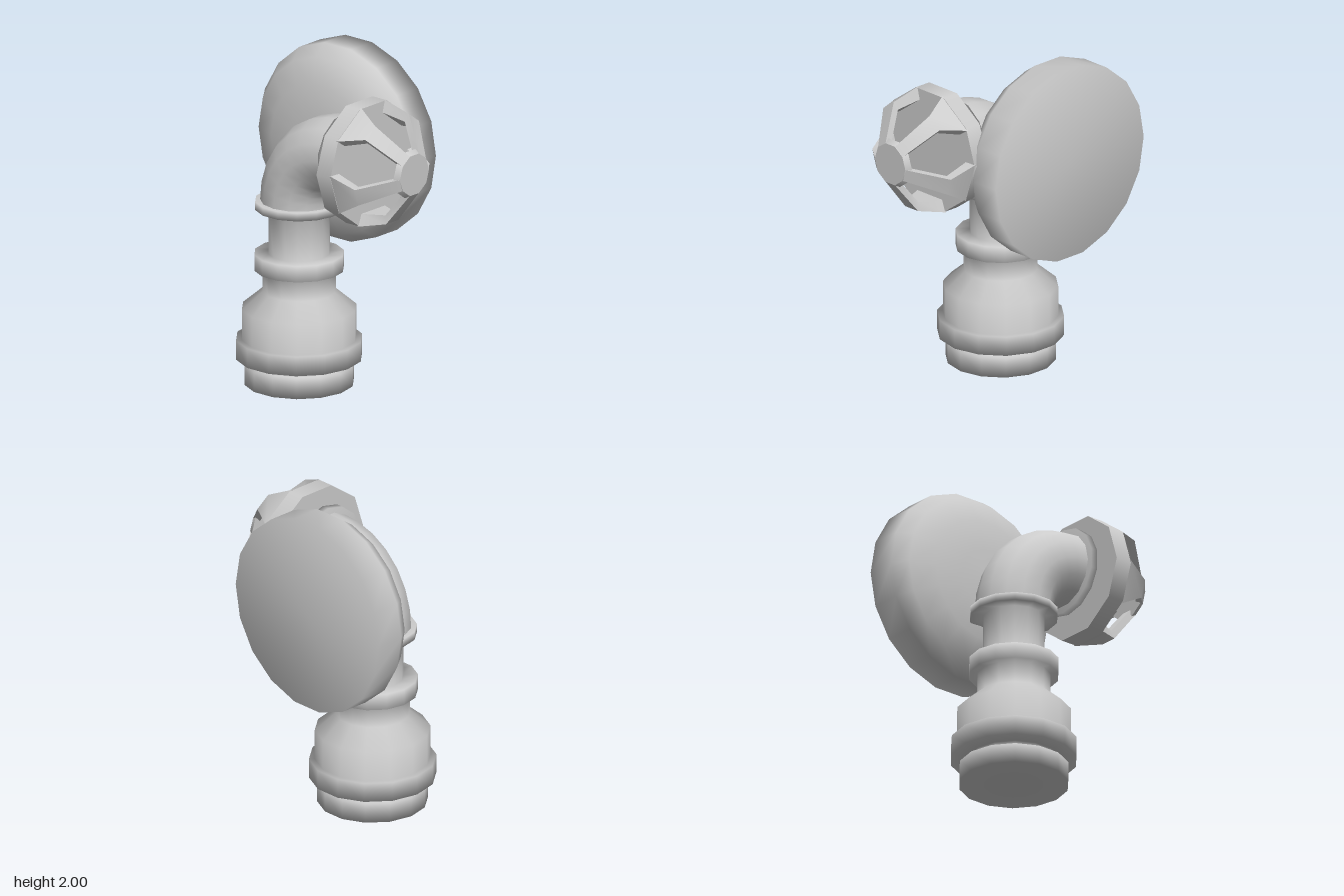
import * as THREE from 'three';
import { toCreasedNormals } from 'three/addons/utils/BufferGeometryUtils.js';

const material = new THREE.MeshStandardMaterial({ color: 0xcccccc, side: THREE.DoubleSide });

function add(parent, name, geometry, x = 0, y = 0, z = 0) {
  const mesh = new THREE.Mesh(geometry, material);
  mesh.name = name;
  mesh.position.set(x, y, z);
  parent.add(mesh);
  return mesh;
}

// Profile of [radius, height] pairs, first side corner on the x axis
function lathe(profile, sides) {
  const points = profile.map(([r, h]) => new THREE.Vector2(r, h));
  return new THREE.LatheGeometry(points, sides, Math.PI / 2);
}

// Tapered, bent bar joining the wheel rim to its hub
function spokeGeometry() {
  // outer height, outer radius, half width, inner height, inner radius
  const sections = [
    [0.44, 0.364, 0.135, 0.44, 0.29],
    [0.595, 0.335, 0.055, 0.58, 0.285],
    [0.77, 0.124, 0.04, 0.735, 0.1],
  ];
  const positions = [];
  const index = [];
  for (const [h, r, w, hi, ri] of sections) {
    positions.push(r, h, w, r, h, -w, ri, hi, -w * 0.8, ri, hi, w * 0.8);
  }
  for (let s = 0; s < sections.length - 1; s++) {
    for (let i = 0; i < 4; i++) {
      const a = s * 4 + i;
      const b = s * 4 + ((i + 1) % 4);
      index.push(a, b, b + 4, a, b + 4, a + 4);
    }
  }
  const geometry = new THREE.BufferGeometry();
  geometry.setAttribute('position', new THREE.Float32BufferAttribute(positions, 3));
  geometry.setIndex(index);
  return toCreasedNormals(geometry, 0.7);
}

export function createModel() {
  const model = new THREE.Group();
  model.name = 'pipeValve';
  const px = -0.14;
  const pz = 0.09;

  // Upright pipe with its collars
  add(model, 'standPipe', lathe([
    [0, 0], [0.33, 0], [0.33, 0.12], [0.28, 0.12], [0.28, 0.16],
    [0.38, 0.16], [0.38, 0.28], [0.345, 0.28], [0.345, 0.47],
    [0.222, 0.575], [0.222, 0.71], [0.27, 0.71], [0.27, 0.81],
    [0.185, 0.81], [0.185, 1.09], [0.265, 1.09], [0.265, 1.14], [0, 1.14],
  ], 14), px, 0, pz);

  // Bent pipe
  const bend = new THREE.CubicBezierCurve3(
    new THREE.Vector3(px, 1.13, pz),
    new THREE.Vector3(px, 1.36, pz),
    new THREE.Vector3(0.02, 1.51, pz),
    new THREE.Vector3(0.25, 1.51, pz),
  );
  add(model, 'elbow', new THREE.TubeGeometry(bend, 7, 0.232, 14));

  // Flange and neck at the elbow's mouth
  const outlet = add(model, 'outletFlange', lathe([
    [0, 0.24], [0.27, 0.24], [0.27, 0.285], [0.145, 0.285], [0.145, 0.34],
  ], 14), 0, 1.51, pz);
  outlet.rotation.z = -Math.PI / 2;

  // Caged hand wheel, built along its own axis and turned sideways
  const wheel = new THREE.Group();
  wheel.name = 'handWheel';
  wheel.position.set(0, 1.495, pz);
  wheel.rotation.z = -Math.PI / 2;
  model.add(wheel);
  add(wheel, 'wheelRim', new THREE.CylinderGeometry(0.385, 0.385, 0.11, 10), 0, 0.39, 0);
  add(wheel, 'wheelHub', new THREE.CylinderGeometry(0.13, 0.15, 0.035, 10), 0, 0.7545, 0);
  const spoke = spokeGeometry();
  for (let i = 0; i < 5; i++) {
    add(wheel, 'wheelSpoke', spoke).rotation.y = (i * Math.PI * 2) / 5;
  }

  // Large domed disc behind the pipe
  const disc = add(model, 'backDisc', lathe([
    [0, -0.475], [0.61, -0.475], [0.61, -0.285], [0.545, -0.195],
    [0.39, -0.13], [0.2, -0.107], [0, -0.1],
  ], 18), -0.165, 1.4, 0);
  disc.rotation.x = Math.PI / 2;

  return model;
}
